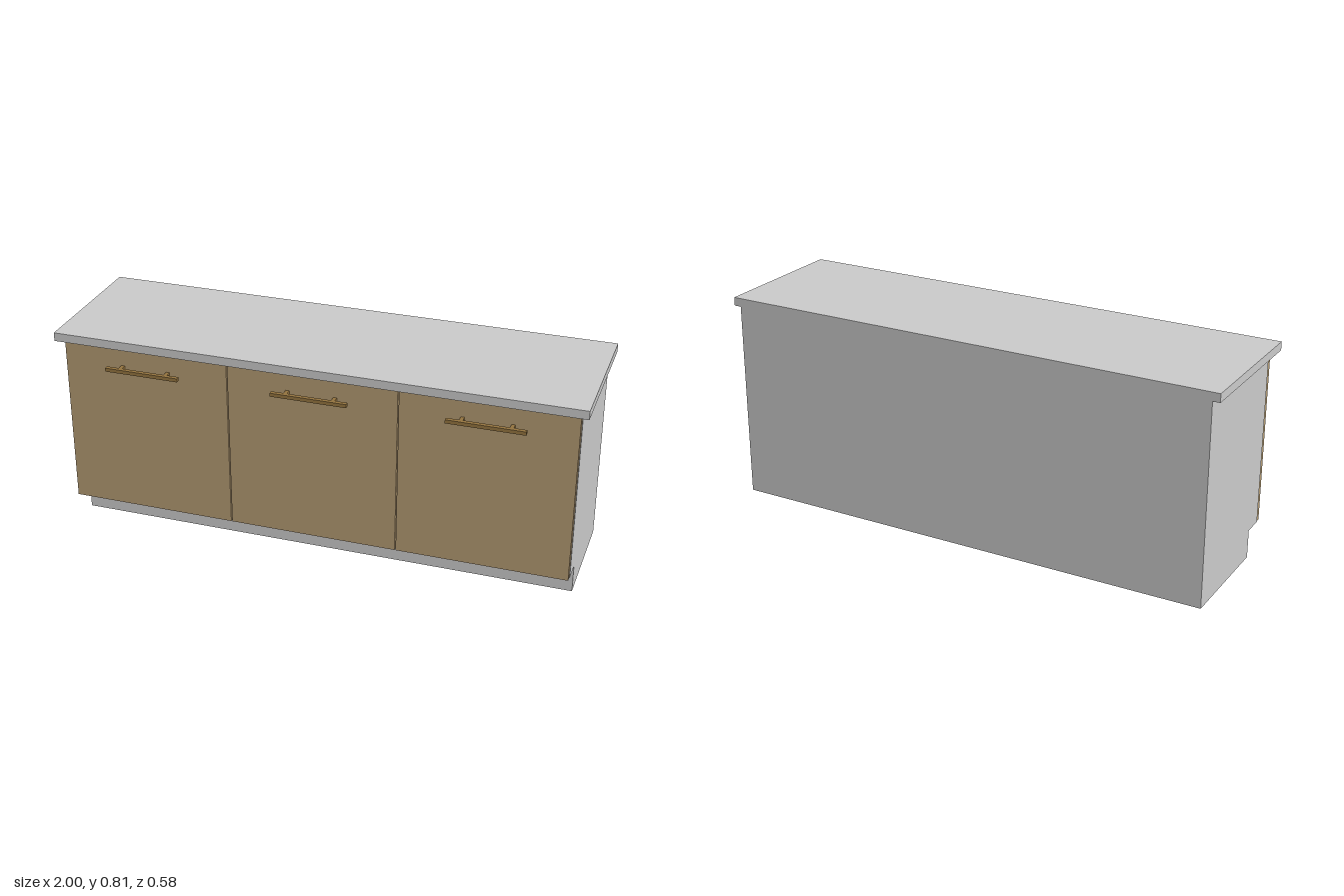
import * as THREE from 'three';

const grey = new THREE.MeshStandardMaterial({ color: 0xcccccc });
const wood = new THREE.MeshStandardMaterial({ color: 0xb39a72 });
const brass = new THREE.MeshStandardMaterial({ color: 0x94743f });

// Box given by its minimum and maximum corners
function box(name, material, [x0, y0, z0], [x1, y1, z1]) {
  const mesh = new THREE.Mesh(new THREE.BoxGeometry(x1 - x0, y1 - y0, z1 - z0), material);
  mesh.position.set((x0 + x1) / 2, (y0 + y1) / 2, (z0 + z1) / 2);
  mesh.name = name;
  return mesh;
}

// Cabinet body: side profile with a toe-kick recess, extruded along x
function makeCarcass(width) {
  const back = 0.29, front = 0.23, kick = 0.148, kickHeight = 0.11, top = 0.778;
  const profile = new THREE.Shape([
    [back, 0], [back, top], [-front, top], [-front, kickHeight], [-kick, kickHeight], [-kick, 0],
  ].map(([x, y]) => new THREE.Vector2(x, y)));
  const geometry = new THREE.ExtrudeGeometry(profile, { depth: width, bevelEnabled: false });
  geometry.translate(0, 0, -width / 2).rotateY(Math.PI / 2);
  const mesh = new THREE.Mesh(geometry, grey);
  mesh.name = 'carcass';
  return mesh;
}

// Bar handle on two short posts
function makeHandle() {
  const handle = new THREE.Group();
  handle.name = 'handle';
  handle.add(box('handleBar', brass, [-0.144, 0.69, 0.275], [0.144, 0.704, 0.291]));
  for (const x of [-0.09, 0.09]) {
    handle.add(box('handlePost', brass, [x - 0.007, 0.69, 0.25], [x + 0.007, 0.704, 0.275]));
  }
  return handle;
}

export function createModel() {
  const model = new THREE.Group();
  model.name = 'baseCabinet';
  const width = 1.944, pitch = width / 3, half = pitch / 2 - 0.002;

  model.add(makeCarcass(width));
  model.add(box('countertop', grey, [-1, 0.778, -0.291], [1, 0.811, 0.277]));

  // Three doors, each with its handle
  for (const i of [-1, 0, 1]) {
    const front = new THREE.Group();
    front.name = 'doorUnit';
    front.position.x = i * pitch;
    front.add(box('door', wood, [-half, 0.11, 0.23], [half, 0.777, 0.251]), makeHandle());
    model.add(front);
  }
  return model;
}
